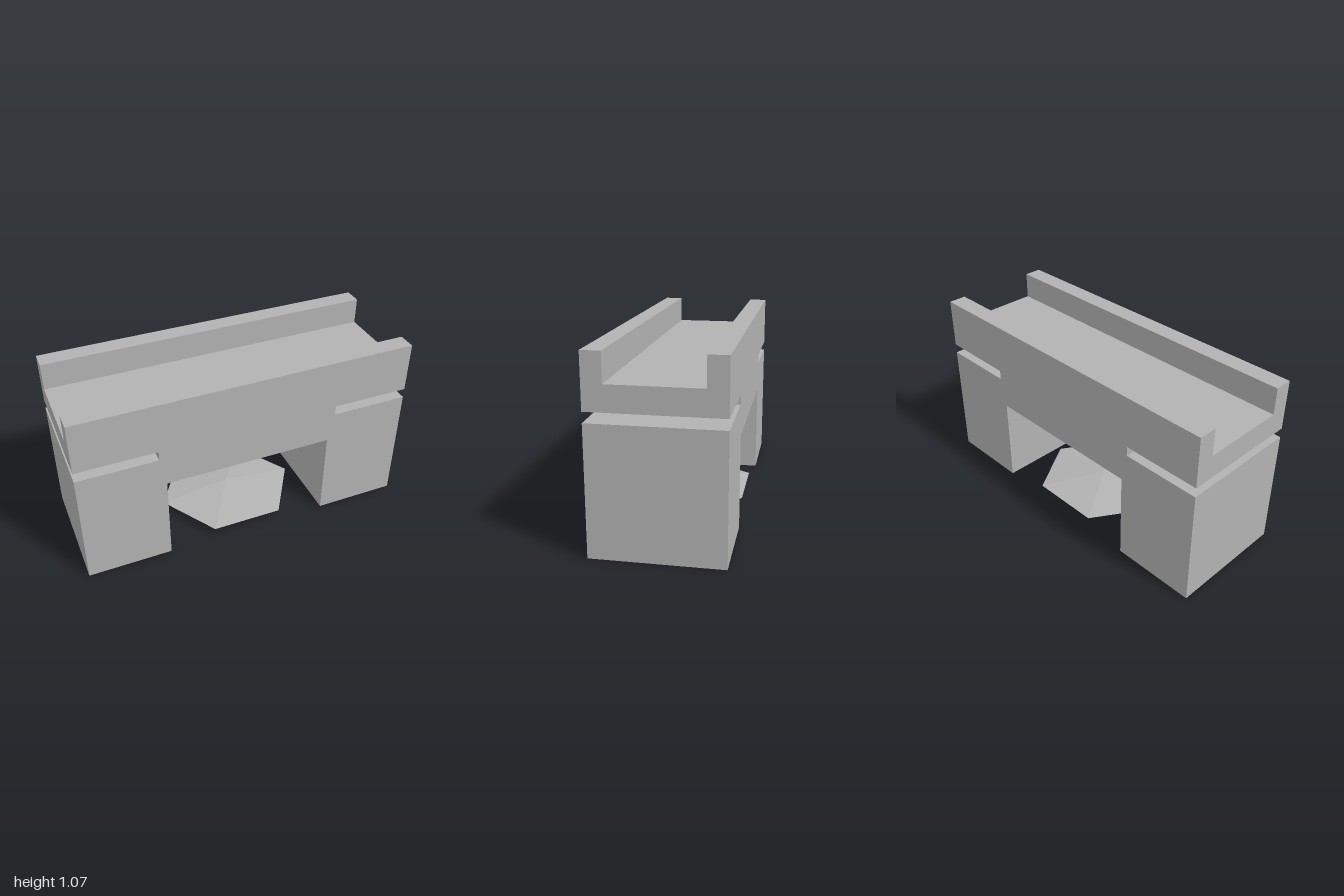
import * as THREE from 'three';

const stone = new THREE.MeshStandardMaterial({ color: 0xb2b2b2 });
stone.name = 'stone grey';

const HALF_DEPTH = 0.357, DECK_Y = 0.911, TOP_Y = 1.071, RAIL = 0.107;

function addPart(parent, name, geometry) {
  const mesh = new THREE.Mesh(geometry, stone);
  mesh.name = name;
  parent.add(mesh);
  return mesh;
}

// Deck and two legs: half outline mirrored in x, with a slot above each leg
function bodyGeometry() {
  const half = [
    [0.5, 0.536], [0.5, 0], [1, 0], [1, 0.714],
    [0.536, 0.714], [0.536, 0.771], [1, 0.771], [1, DECK_Y],
  ];
  const mirrored = half.map(([x, y]) => [-x, y]).reverse();
  const shape = new THREE.Shape([...half, ...mirrored].map(([x, y]) => new THREE.Vector2(x, y)));
  const geometry = new THREE.ExtrudeGeometry(shape, { depth: 2 * HALF_DEPTH, bevelEnabled: false });
  return geometry.translate(0, 0, -HALF_DEPTH);
}

// Flat six-sided double pyramid with its widest points on the x axis
function gemGeometry() {
  const midY = 0.054, ring = [], points = [];
  for (let i = 0; i < 6; i++) {
    const a = (i * Math.PI) / 3;
    ring.push([0.425 * Math.cos(a), midY, 0.393 * Math.sin(a)]);
  }
  ring.forEach((p, i) => {
    const q = ring[(i + 1) % 6];
    points.push(...q, ...p, 0, 0.107, 0, ...p, ...q, 0, 0, 0);
  });
  const geometry = new THREE.BufferGeometry();
  geometry.setAttribute('position', new THREE.Float32BufferAttribute(points, 3));
  geometry.computeVertexNormals();
  return geometry;
}

export function createModel() {
  const group = new THREE.Group();
  group.name = 'bridge';
  addPart(group, 'deckAndLegs', bodyGeometry());

  // Raised side rails along both long edges
  for (const [name, side] of [['frontRail', 1], ['backRail', -1]]) {
    const rail = addPart(group, name, new THREE.BoxGeometry(2, TOP_Y - DECK_Y, RAIL));
    rail.position.set(0, (TOP_Y + DECK_Y) / 2, side * (HALF_DEPTH - RAIL / 2));
  }

  addPart(group, 'gem', gemGeometry());
  return group;
}
